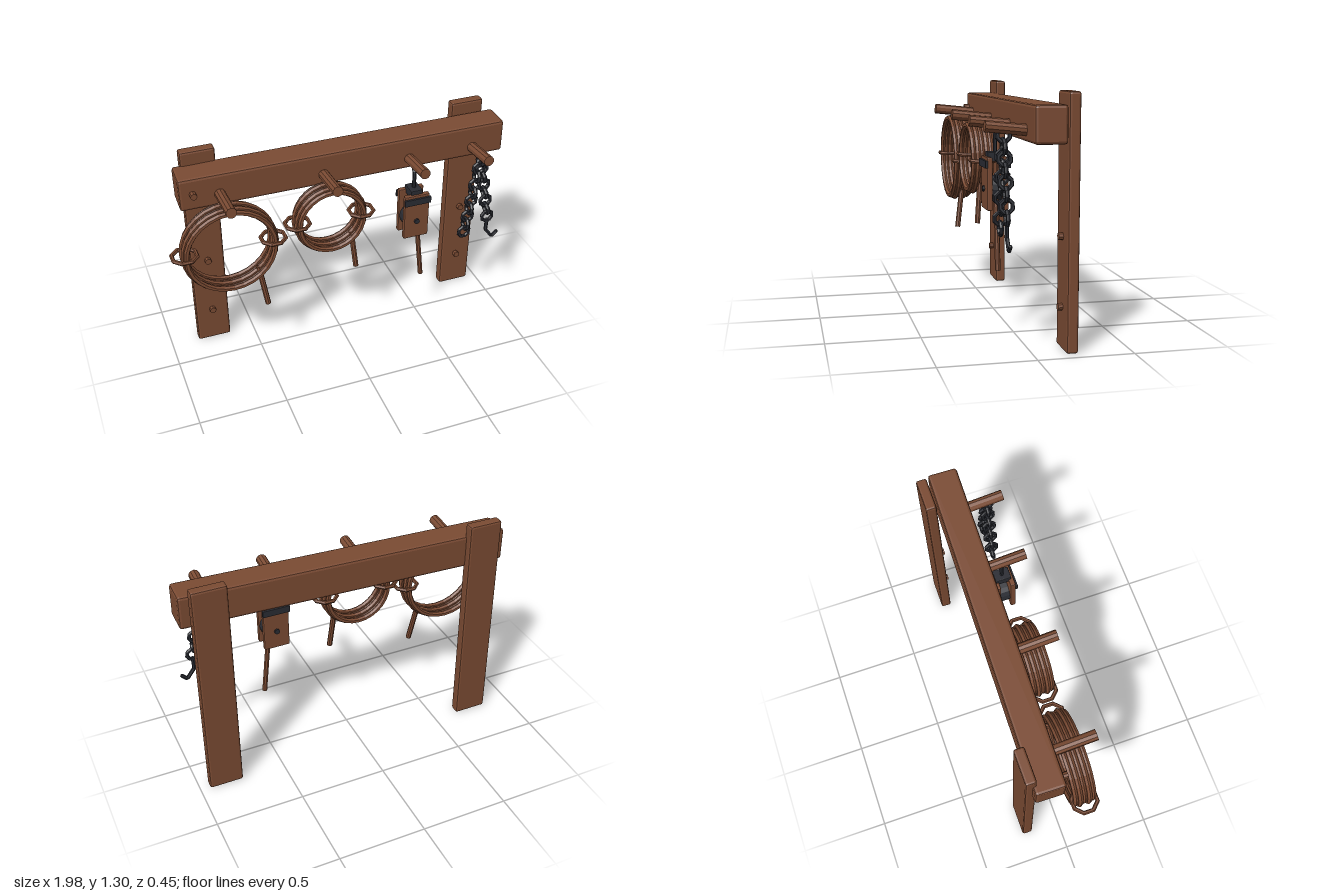
import * as THREE from 'three';
import { RoundedBoxGeometry } from 'three/addons/geometries/RoundedBoxGeometry.js';

export function createModel() {
  const wood = new THREE.MeshStandardMaterial({ color: 0x7b4b33, flatShading: true });
  wood.name = 'brown wood and rope';
  const iron = new THREE.MeshStandardMaterial({ color: 0x2a2c33, flatShading: true });
  iron.name = 'dark iron';
  const model = new THREE.Group();
  model.name = 'toolRack';
  const V = (x, y, z) => new THREE.Vector3(x, y, z);

  function add(parent, name, geometry, material, x = 0, y = 0, z = 0) {
    const mesh = new THREE.Mesh(geometry, material);
    mesh.name = name;
    mesh.position.set(x, y, z);
    parent.add(mesh);
    return mesh;
  }
  function group(name) {
    const g = new THREE.Group();
    g.name = name;
    model.add(g);
    return g;
  }
  const block = (parent, name, mat, w, h, d, x, y, z, r = 0.012) =>
    add(parent, name, new RoundedBoxGeometry(w, h, d, 1, r), mat, x, y, z);

  // straight round bar between two points
  function rod(parent, name, mat, a, b, radius, sides = 8) {
    const dir = b.clone().sub(a);
    const mesh = add(parent, name, new THREE.CylinderGeometry(radius, radius, dir.length(), sides), mat);
    mesh.position.copy(a).add(b).multiplyScalar(0.5);
    mesh.quaternion.setFromUnitVectors(V(0, 1, 0), dir.normalize());
    return mesh;
  }
  // bent bar through several points with sharp corners
  function bentRod(parent, name, mat, points, radius) {
    const path = new THREE.CurvePath();
    for (let i = 1; i < points.length; i++) path.add(new THREE.LineCurve3(points[i - 1], points[i]));
    add(parent, name, new THREE.TubeGeometry(path, 24, radius, 6), mat);
    for (const p of [points[0], points.at(-1)])
      add(parent, name + 'End', new THREE.SphereGeometry(radius, 6, 4), mat, p.x, p.y, p.z);
  }

  // frame
  const frame = group('frame');
  for (const x of [-0.743, 0.847]) {
    block(frame, 'post', wood, 0.195, 1.3, 0.06, x, 0.65, -0.195);
    for (const y of [0.22, 0.58])
      rod(frame, 'postBolt', wood, V(x, y, -0.18), V(x, y, -0.142), 0.019);
    rod(frame, 'beamBolt', wood, V(x, 1.13, -0.18), V(x, 1.13, -0.12), 0.019);
  }
  const beam = block(frame, 'beam', wood, 1.88, 0.19, 0.165, 0.053, 1.135, -0.085, 0.015);
  beam.rotation.set(0, -0.022, 0.011);
  rod(frame, 'beamFrontBolt', wood, V(-0.815, 1.13, -0.04), V(-0.815, 1.13, 0.01), 0.019);

  // pegs, tilted upward
  for (const x of [-0.67, -0.09, 0.415, 0.8])
    rod(frame, 'peg', wood, V(x, 1.1, -0.06), V(x, 1.13, 0.222), 0.03, 10);

  // coils of rope with a tie on each side and a loose tail
  function coil(x, y, radius, z, tieOffset, tailTop, tailEnd) {
    const g = group('ropeCoil');
    for (let i = 0; i < 5; i++) {
      const r = radius + (i % 2 ? 0.006 : -0.004);
      add(g, 'strand', new THREE.TorusGeometry(r, 0.0155, 6, 28), wood, x, y, z + (i - 2) * 0.025);
    }
    for (const s of [-1, 1]) {
      const tie = add(g, 'tie', new THREE.TorusGeometry(0.07, 0.012, 6, 8), wood, x + s * tieOffset, y, z);
      tie.rotation.set(Math.PI / 2, 0, Math.PI / 8);
    }
    rod(g, 'ropeTail', wood, tailTop, tailEnd, 0.016);
  }
  coil(-0.665, 0.825, 0.25, 0.085, 0.247, V(-0.51, 0.65, 0.085), V(-0.475, 0.405, 0.12));
  coil(-0.09, 0.882, 0.19, 0.082, 0.187, V(0.038, 0.755, 0.085), V(0.061, 0.52, 0.105));

  // pulley
  const pulley = group('pulley');
  const px = 0.415, pz = 0.083;
  for (const s of [-1, 1]) {
    block(pulley, 'cheek', wood, 0.15, 0.28, 0.03, px, 0.8, pz + s * 0.043, 0.006);
    block(pulley, 'strap', iron, 0.16, 0.04, 0.014, px, 0.904, pz + s * 0.062, 0.002);
  }
  block(pulley, 'cap', iron, 0.07, 0.05, 0.09, px, 0.94, pz, 0.004);
  rod(pulley, 'wheel', iron, V(px, 0.77, pz - 0.027), V(px, 0.77, pz + 0.027), 0.07, 16);
  rod(pulley, 'axle', iron, V(px, 0.77, pz - 0.068), V(px, 0.77, pz + 0.068), 0.016);
  bentRod(pulley, 'hanger', iron,
    [V(px, 0.95, pz), V(px, 1.06, pz), V(px, 1.1, pz - 0.03), V(px, 1.12, pz - 0.03)], 0.011);
  rod(pulley, 'ropeTail', wood, V(0.442, 0.74, pz), V(0.486, 0.337, pz), 0.015);

  // chain in two strands, each link turned a quarter from the last
  const chain = group('chain');
  const cz = 0.127;
  function strand(from, to, count) {
    const tilt = Math.atan2(to.x - from.x, from.y - to.y);
    for (let i = 0; i < count; i++) {
      const p = from.clone().lerp(to, i / (count - 1));
      const link = add(chain, 'link', new THREE.TorusGeometry(0.0335, 0.0115, 6, 8), iron, p.x, p.y, p.z);
      link.rotation.order = 'ZYX';
      link.rotation.set(0, i % 2 ? 0 : Math.PI / 2, tilt);
      link.rotateZ(Math.PI / 8);
    }
  }
  strand(V(0.8, 1.085, cz), V(0.732, 0.61, cz), 10);
  strand(V(0.802, 1.085, cz), V(0.877, 0.687, cz), 8);
  bentRod(chain, 'hook', iron,
    [V(0.88, 0.66, cz), V(0.877, 0.59, cz), V(0.922, 0.53, cz), V(0.951, 0.558, cz)], 0.011);

  return model;
}
